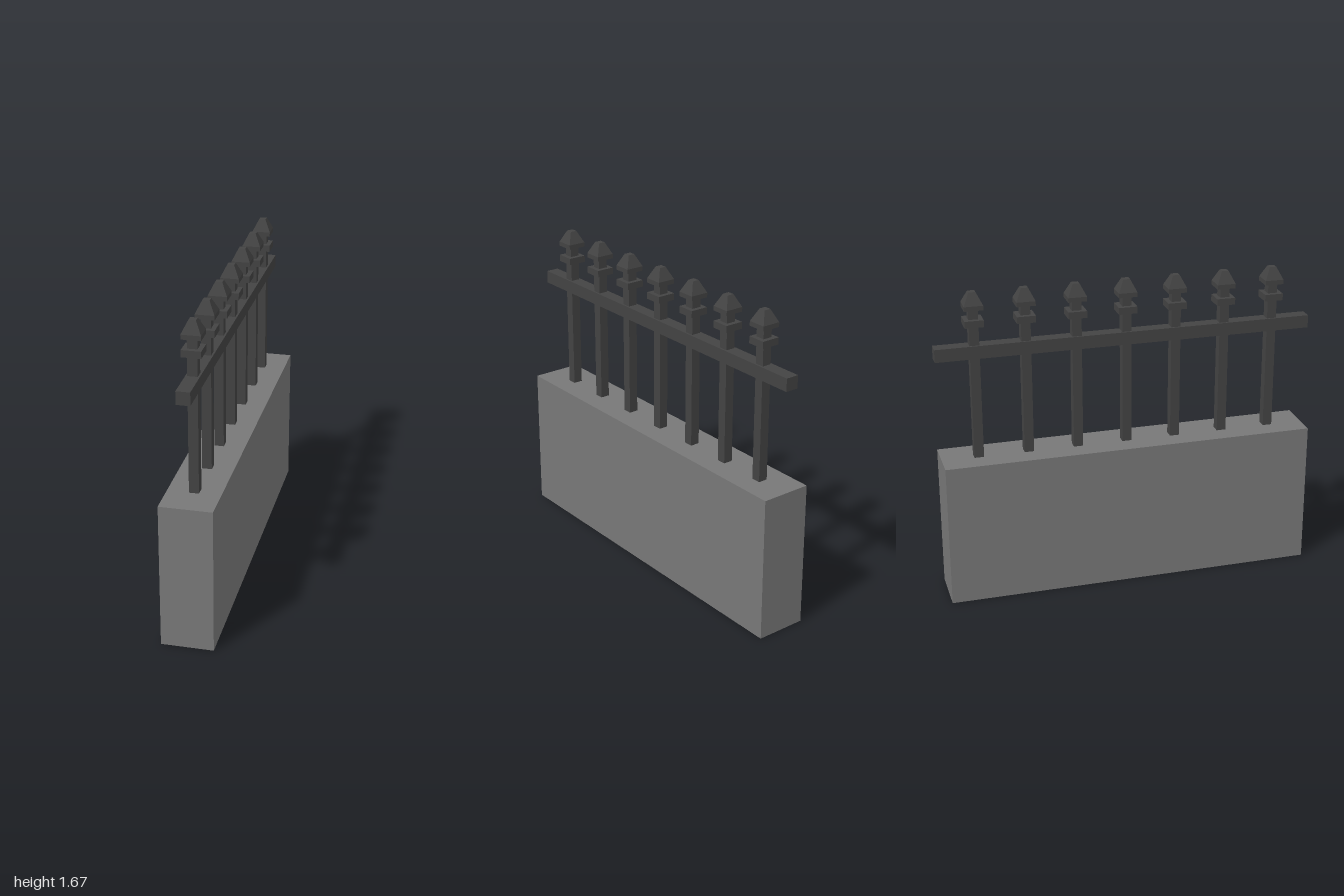
import * as THREE from 'three';

export function createModel() {
  const model = new THREE.Group();
  model.name = 'fence';
  const stone = new THREE.MeshStandardMaterial({ color: 0x777777, flatShading: true });
  const iron = new THREE.MeshStandardMaterial({ color: 0x434343, flatShading: true });

  // Box standing between two heights, centred on the post axis
  function addBox(parent, name, material, width, depth, y0, y1) {
    const mesh = new THREE.Mesh(new THREE.BoxGeometry(width, y1 - y0, depth), material);
    mesh.position.y = (y0 + y1) / 2;
    mesh.name = name;
    parent.add(mesh);
  }

  // Low wall and top rail
  addBox(model, 'wall', stone, 0.27, 1.98, 0, 0.775);
  addBox(model, 'rail', iron, 0.07, 2, 1.32, 1.388);

  // Square finial: short upright band, then a truncated pyramid
  const finialGeometry = new THREE.CylinderGeometry(0.018 * Math.SQRT2, 0.049 * Math.SQRT2, 0.064, 4);
  finialGeometry.rotateY(Math.PI / 4);

  // Seven evenly spaced pickets
  for (let i = -3; i <= 3; i++) {
    const picket = new THREE.Group();
    picket.name = 'picket';
    picket.position.z = i * 0.265;
    addBox(picket, 'post', iron, 0.05, 0.05, 0.775, 1.58);
    addBox(picket, 'collar', iron, 0.098, 0.098, 1.49, 1.526);
    addBox(picket, 'finialBase', iron, 0.098, 0.098, 1.578, 1.602);
    const finial = new THREE.Mesh(finialGeometry, iron);
    finial.name = 'finial';
    finial.position.y = 1.634;
    picket.add(finial);
    model.add(picket);
  }
  return model;
}
